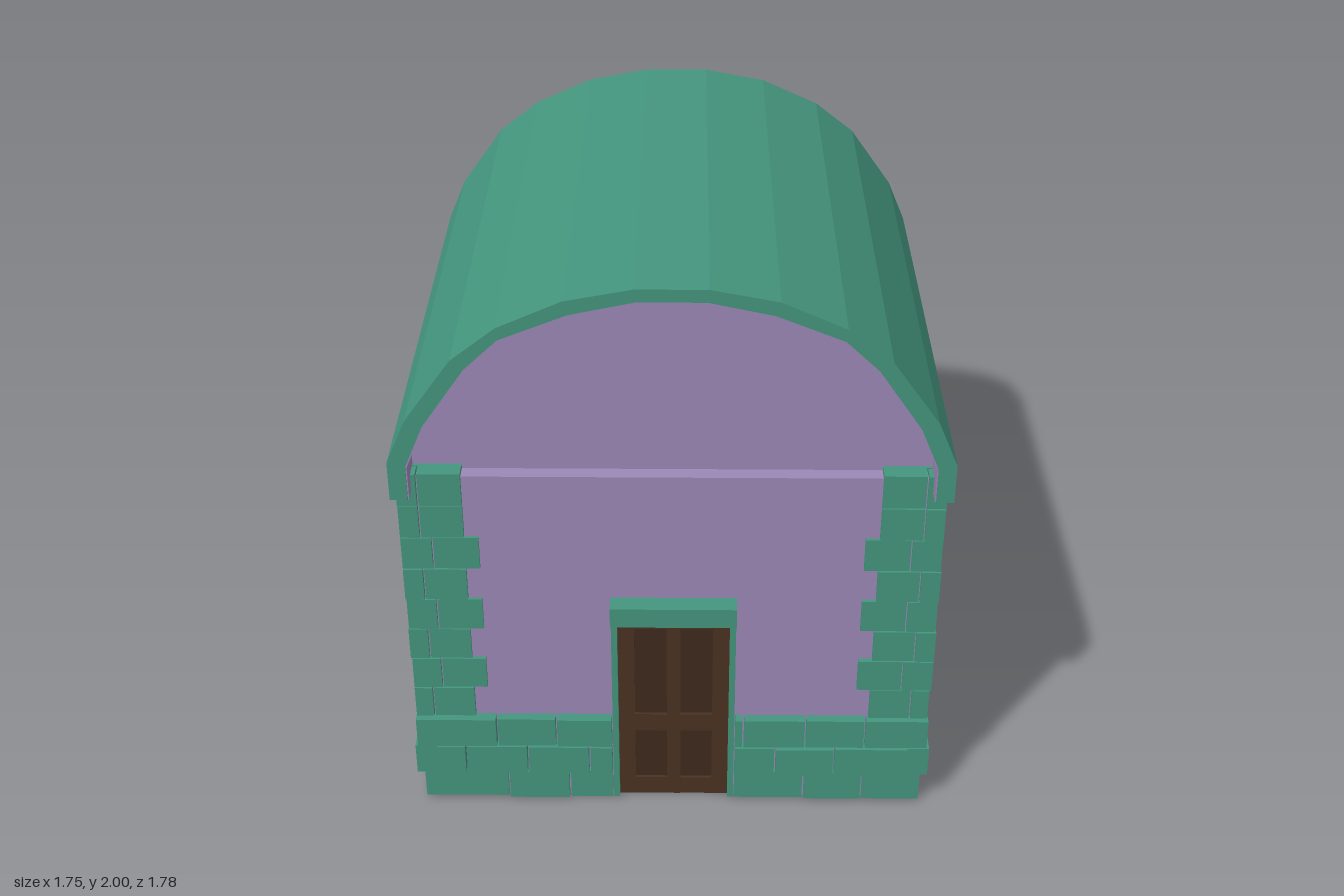
import * as THREE from 'three';

const mat = (color) => new THREE.MeshStandardMaterial({ color, flatShading: true });

export function createModel() {
  const model = new THREE.Group();
  const stone = mat(0x44957d), plaster = mat(0x9b87b5), wood = mat(0x4a3222), darkWood = mat(0x3d291c);

  const group = (name) => {
    const g = new THREE.Group();
    g.name = name;
    model.add(g);
    return g;
  };

  // Box given by its limits on each axis
  const box = (parent, name, material, x0, x1, y0, y1, z0, z1) => {
    const geo = new THREE.BoxGeometry(Math.abs(x1 - x0), y1 - y0, Math.abs(z1 - z0));
    geo.translate((x0 + x1) / 2, (y0 + y1) / 2, (z0 + z1) / 2);
    const mesh = new THREE.Mesh(geo, material);
    mesh.name = name;
    parent.add(mesh);
  };

  // Small seeded variation for hand-laid stone
  let seed = 7;
  const vary = (amount) => {
    seed = (seed * 16807) % 2147483647;
    return (seed / 2147483647) * amount;
  };

  // Walls: main block plus a front layer leaving the doorway open
  const WX = 0.84, WZ = 0.828;
  const walls = group('walls');
  box(walls, 'wallBlock', plaster, -WX, WX, 0.006, 1.31, -WZ, 0.78);
  box(walls, 'frontWallRight', plaster, -WX, -0.19, 0.006, 1.31, 0.78, WZ);
  box(walls, 'frontWallLeft', plaster, 0.2, WX, 0.006, 1.31, 0.78, WZ);
  box(walls, 'frontWallOverDoor', plaster, -0.19, 0.2, 0.8, 1.31, 0.78, WZ);

  // Arched roof shell, its plaster lining and the gable filling it
  const outer = [[0.874, 1.265], [0.874, 1.4], [0.81, 1.55], [0.66, 1.76], [0.52, 1.87], [0.32, 1.96], [0.11, 2]];
  const inner = [[0.818, 1.265], [0.818, 1.385], [0.757, 1.53], [0.62, 1.73], [0.515, 1.83], [0.305, 1.915], [0.105, 1.958]];
  const lining = inner.map(([x, y], i) => [x - 0.004, i ? y - 0.004 : y]);
  const arch = (half) => [...half, ...half.map(([x, y]) => [-x, y]).reverse()].map(([x, y]) => new THREE.Vector2(x, y));
  const extrude = (name, points, depth, material) => {
    const geo = new THREE.ExtrudeGeometry(new THREE.Shape(points), { depth, bevelEnabled: false });
    geo.translate(0, 0, 0.003 - depth / 2);
    const mesh = new THREE.Mesh(geo, material);
    mesh.name = name;
    model.add(mesh);
  };
  extrude('roof', [...arch(outer), ...arch(inner).reverse()], 1.785, stone);
  extrude('roofLining', [...arch(inner), ...arch(lining).reverse()], 1.775, plaster);
  extrude('gable', arch(inner), 1.55, plaster);

  // Plinth: three courses of bricks on all four sides
  const plinth = group('plinth');
  const gap = 0.003;
  const courses = [
    { y: [0.01, 0.123], r: 0.843, sideJoints: [-0.69, -0.49, -0.29, -0.1, 0.11, 0.3, 0.51, 0.71] },
    { y: [0.128, 0.243], r: 0.862, sideJoints: [-0.61, -0.4, -0.2, 0.03, 0.2, 0.4, 0.64] },
    { y: [0.248, 0.361], r: 0.856, sideJoints: [-0.62, -0.43, -0.22, -0.02, 0.19, 0.4, 0.6] },
  ];
  const frontJoints = [
    [[-0.56, -0.35], [0.45, 0.65]],
    [[-0.7, -0.49, -0.28], [0.35, 0.55]],
    [[-0.59, -0.39], [0.24, 0.45, 0.65]],
  ];
  const runOfBricks = (limits, place) => {
    for (let i = 0; i < limits.length - 1; i++) place(limits[i] + gap, limits[i + 1] - gap);
  };
  courses.forEach(({ y: [y0, y1], r, sideJoints }, i) => {
    // Alternate which walls carry the corner stones
    const rx = r + 0.008;
    const endX = i % 2 ? 0.8 : rx, endZ = i % 2 ? r : 0.785;
    const front = (a, b) => box(plinth, 'frontBrick', stone, a, b, y0, y1, 0.78, r + vary(0.01));
    runOfBricks([-endX, ...frontJoints[i][0], -0.2], front);
    runOfBricks([0.21, ...frontJoints[i][1], endX], front);
    runOfBricks([-endX, ...sideJoints, endX], (a, b) =>
      box(plinth, 'backBrick', stone, a, b, y0, y1, -0.78, -r - vary(0.01)));
    for (const s of [-1, 1]) {
      runOfBricks([-endZ, ...sideJoints, endZ], (a, b) =>
        box(plinth, 'sideBrick', stone, s * 0.79, s * (rx + vary(0.006)), y0, y1, a, b));
    }
  });

  // Corner quoins: eight courses, alternating stone lengths, just proud of the plaster
  const quoins = group('cornerStones');
  const pitch = 0.1205;
  for (const sx of [-1, 1]) {
    for (const sz of [-1, 1]) {
      for (let i = 0; i < 8; i++) {
        const y0 = 0.365 + i * pitch, y1 = y0 + pitch - 0.003;
        const long = i % 2 === 1 && i < 7;
        const fx = long ? 0.615 : 0.66, cx = long ? 0.765 : 0.8;
        const sideEnd = long ? 0.69 : 0.63;
        const ox = 0.857 + vary(0.006), oz = 0.842 + vary(0.006);
        box(quoins, 'cornerStone', stone, sx * cx, sx * ox, y0, y1, sz * (long ? sideEnd : 0.795), sz * oz);
        box(quoins, 'faceStone', stone, sx * fx, sx * (cx - 0.005), y0, y1, sz * 0.77, sz * (oz - 0.003));
        if (!long) box(quoins, 'sideStone', stone, sx * 0.77, sx * (ox - 0.003), y0, y1, sz * sideEnd, sz * 0.79);
      }
    }
  }

  // Single bricks standing slightly out of the plaster
  const accents = group('plasterBricks');
  const hw = 0.1, hh = 0.058, proud = 0.016;
  for (const [s, z, y] of [
    [1, 0.01, 0.997], [1, -0.34, 0.66], [1, 0.01, 0.508],
    [-1, -0.02, 0.508], [-1, 0.33, 0.98], [-1, 0.48, 0.8], [-1, -0.56, 1.16],
  ]) box(accents, 'sideAccentBrick', plaster, s * 0.78, s * (WX + proud), y - hh, y + hh, z - hw, z + hw);
  for (const [x, y] of [[-0.37, 0.89], [0.47, 0.715]]) {
    box(accents, 'backAccentBrick', plaster, x - hw, x + hw, y - hh, y + hh, -0.78, -WZ - proud);
  }

  // Door frame
  const frame = group('doorFrame');
  box(frame, 'lintel', stone, -0.2, 0.21, 0.775, 0.847, 0.78, 0.893);
  box(frame, 'rightJamb', stone, -0.2, -0.18, 0.01, 0.775, 0.77, 0.845);
  box(frame, 'leftJamb', stone, 0.19, 0.21, 0.01, 0.775, 0.77, 0.845);

  // Panelled door, recessed in its frame
  const door = group('door');
  box(door, 'doorPanel', darkWood, -0.18, 0.19, 0, 0.775, 0.77, 0.805);
  for (const [a, b] of [[-0.18, -0.125], [-0.018, 0.028], [0.135, 0.19]]) {
    box(door, 'doorStile', wood, a, b, 0, 0.775, 0.78, 0.816);
  }
  for (const [a, b] of [[0, 0.07], [0.28, 0.35], [0.71, 0.775]]) {
    box(door, 'doorRail', wood, -0.178, 0.188, a, b, 0.78, 0.815);
  }

  return model;
}
